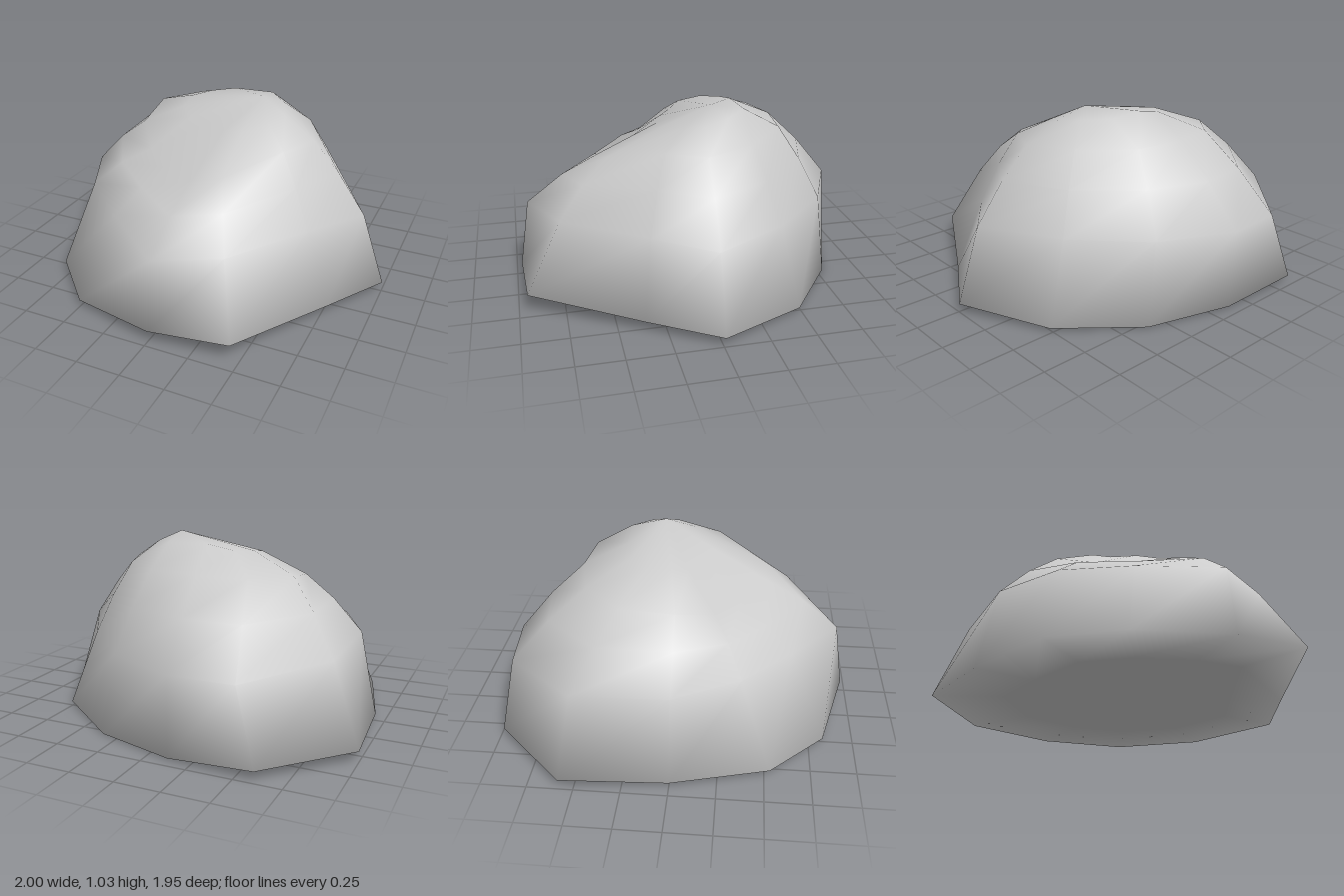
import * as THREE from 'three';

// Cross-sections of the boulder, 12 points each as [x, y, z], going from +x round by the back
const foot = [
  [1, .05, -.01], [.76, .02, -.49], [.35, 0, -.79], [-.12, .01, -.94], [-.6, .05, -.98], [-1, .06, -.58],
  [-.95, .04, 0], [-.81, .04, .53], [-.51, .03, .83], [0, .07, .97], [.46, .11, .95], [.78, .06, .36],
];
const waist = [
  [.86, .46, -.01], [.61, .45, -.42], [.28, .45, -.76], [-.13, .45, -.95], [-.48, .44, -.92], [-.84, .49, -.52],
  [-.85, .51, 0], [-.67, .52, .36], [-.37, .5, .63], [0, .46, .91], [.34, .47, .75], [.63, .46, .3],
];
const shoulder = [
  [.54, .85, -.03], [.43, .86, -.3], [.18, .87, -.53], [-.1, .87, -.56], [-.37, .86, -.5], [-.55, .85, -.3],
  [-.52, .81, 0], [-.37, .73, .2], [-.18, .7, .34], [.03, .73, .5], [.21, .77, .47], [.44, .85, .19],
];
const crown = [
  [.35, .96, -.06], [.3, .98, -.2], [.18, .99, -.32], [-.05, .99, -.3], [-.2, .96, -.28], [-.28, .95, -.18],
  [-.27, .93, -.04], [-.19, .9, .04], [-.05, .91, .12], [.08, .91, .16], [.18, .91, .16], [.3, .94, .05],
];
const bottom = [0, .04, 0], peak = [.2, 1.03, -.12];

// Point a moved a fraction t towards b, raised a little
const mix = (a, b, t, lift = 0) => a.map((v, k) => v + (b[k] - v) * t + (k === 1 ? lift : 0));

function rockGeometry(rings) {
  const n = foot.length, last = (rings.length - 1) * n;
  const points = [...rings.flat(), bottom, peak];
  const bottomIndex = points.length - 2, peakIndex = points.length - 1;
  const index = [];
  for (let i = 0; i < n; i++) {
    const j = (i + 1) % n;
    // sides
    for (let r = 0; r < rings.length - 1; r++) {
      const a = r * n + i, b = r * n + j;
      index.push(a, b, b + n, a, b + n, a + n);
    }
    // underside and peak
    index.push(bottomIndex, j, i, peakIndex, last + i, last + j);
  }
  const geometry = new THREE.BufferGeometry();
  geometry.setAttribute('position', new THREE.Float32BufferAttribute(points.flat(), 3));
  geometry.setIndex(index);
  geometry.computeVertexNormals();
  return geometry;
}

export function createModel() {
  const group = new THREE.Group();
  group.name = 'boulder';
  const underside = foot.map((p) => mix(p, bottom, .35));
  const flank = waist.map((p, i) => mix(p, shoulder[i], .5, .025));
  const rock = new THREE.Mesh(
    rockGeometry([underside, foot, waist, flank, shoulder, crown]),
    new THREE.MeshStandardMaterial({ color: 0xcccccc }),
  );
  rock.name = 'rock';
  group.add(rock);
  return group;
}
